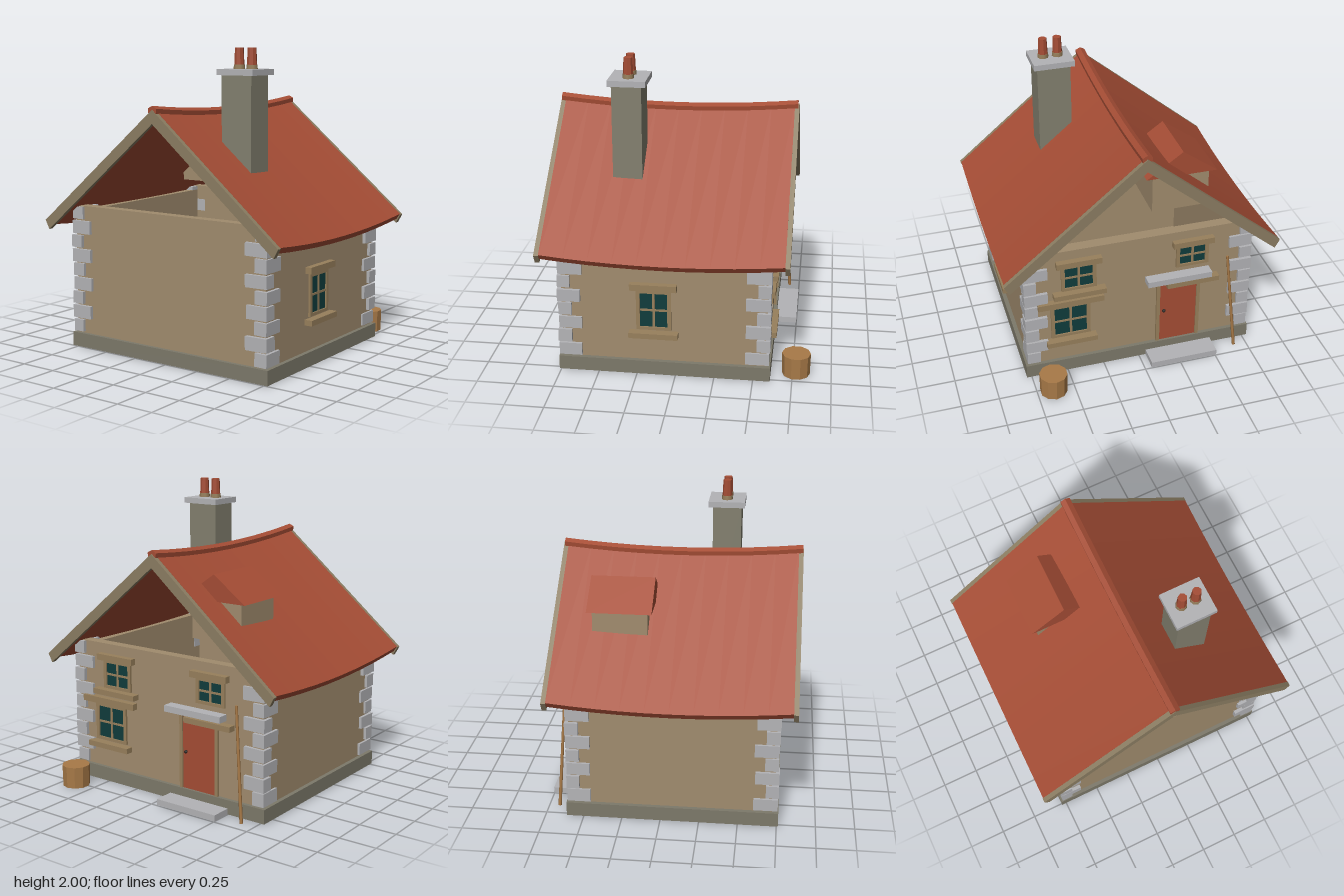
import * as THREE from 'three';

const mat = (name, color, extra = {}) => new THREE.MeshStandardMaterial({ name, color, ...extra });
const WALL = mat('plaster', 0xa18c6e);
const PLINTH = mat('footing', 0x7d796a);
const STONE = mat('cornerStone', 0xb3b3b6);
const ROOF = mat('roofTile', 0xa54d35);
const CHIMNEY = mat('chimneyStone', 0x83806f);
const TRIM = mat('timber', 0x98805c);
const BARGE = mat('weatheredTimber', 0x8b7d62);
const GLASS = mat('glass', 0x103c3c);
const WOOD = mat('wood', 0xa87a48);
const DARK = mat('iron', 0x2c2824);

// Small repeatable random numbers for hand-laid unevenness
let seed = 7;
const jitter = (a) => {
  seed = (seed * 16807) % 2147483647;
  return (seed / 2147483647 - 0.5) * 2 * a;
};

function add(parent, name, geometry, material) {
  const mesh = new THREE.Mesh(geometry, material);
  mesh.name = name;
  parent.add(mesh);
  return mesh;
}

// Box given by its low and high limits on each axis
function box(parent, name, material, x0, x1, y0, y1, z0, z1) {
  const m = add(parent, name, new THREE.BoxGeometry(x1 - x0, y1 - y0, z1 - z0), material);
  m.position.set((x0 + x1) / 2, (y0 + y1) / 2, (z0 + z1) / 2);
  return m;
}

// Profile in x/y pulled along z, optionally sagging in the middle
const Z0 = -0.72, Z1 = 0.86;
function pulled(points, z0, z1, sag = 0) {
  const shape = new THREE.Shape(points.map(([x, y]) => new THREE.Vector2(x, y)));
  const geo = new THREE.ExtrudeGeometry(shape, { depth: z1 - z0, steps: sag ? 10 : 1, bevelEnabled: false });
  geo.translate(0, 0, z0);
  const p = geo.attributes.position;
  for (let i = 0; i < p.count; i++) {
    const t = (p.getZ(i) - (Z0 + Z1) / 2) / ((Z1 - Z0) / 2);
    p.setY(i, p.getY(i) - sag * (1 - t * t));
  }
  geo.computeVertexNormals();
  return geo;
}

// Mirrors the right half of a profile (listed from the top centre to the bottom centre)
const mirrored = (half) => [...half, ...half.slice(1, -1).reverse().map(([x, y]) => [-x, y])];

// Window facing +z on the plane z = 0, with crossbars, lintel and sill
function makeWindow(name, o) {
  const g = new THREE.Group();
  g.name = name;
  const { w, y0, y1, lintelW, lintelY, sillW, sillY } = o;
  const h = w / 2, mid = (y0 + y1) / 2;
  box(g, 'pane', GLASS, -h, h, y0, y1, -0.004, 0.005);
  for (const s of [-1, 1]) box(g, 'jamb', TRIM, s * h - 0.012, s * h + 0.012, y0 - 0.01, y1 + 0.01, -0.005, 0.015);
  for (const y of [y0, y1]) box(g, 'rail', TRIM, -h, h, y - 0.01, y + 0.01, -0.005, 0.015);
  box(g, 'mullion', TRIM, -0.008, 0.008, y0, y1, 0, 0.01);
  box(g, 'crossbar', TRIM, -h, h, mid - 0.007, mid + 0.007, 0, 0.01);
  box(g, 'lintel', TRIM, -lintelW / 2, lintelW / 2, lintelY - 0.021, lintelY + 0.021, -0.02, 0.042);
  box(g, 'sill', TRIM, -sillW / 2, sillW / 2, sillY - 0.018, sillY + 0.018, -0.02, 0.055);
  return g;
}

export function createModel() {
  const house = new THREE.Group();
  house.name = 'cottage';
  const X = 0.755, ZF = 0.735, ZB = -0.585, TOP = 0.962, T = 0.07;

  // Footing, floor and the four open-topped walls
  box(house, 'plinth', PLINTH, -0.783, 0.783, 0.006, 0.1, -0.61, 0.76);
  box(house, 'floor', WALL, -0.75, 0.75, 0.003, 0.103, -0.58, 0.73);
  box(house, 'frontWall', WALL, -X, X, 0.1, TOP, ZF - T, ZF);
  box(house, 'backWall', WALL, -X, X, 0.1, TOP, ZB, ZB + T);
  for (const s of [-1, 1]) {
    const xc = s * (X - T / 2);
    box(house, 'sideWall', WALL, xc - T / 2, xc + T / 2, 0.1, TOP - 0.03, ZB + T, ZF - T);
  }

  // Corner stones, alternately long on each face
  const quoins = new THREE.Group();
  quoins.name = 'cornerStones';
  house.add(quoins);
  for (const sx of [-1, 1]) {
    for (const [sz, face] of [[1, 0.757], [-1, 0.605]]) {
      for (let i = 0; i < 9; i++) {
        const long = i % 2 === 1;
        const lx = (long ? 0.152 : 0.085) + jitter(0.006);
        const lz = (long ? 0.085 : 0.152) + jitter(0.006);
        const out = jitter(0.004);
        const m = add(quoins, 'cornerStone', new THREE.BoxGeometry(lx, 0.083 + jitter(0.004), lz), STONE);
        m.position.set(sx * (0.773 + out - lx / 2), 0.151 + i * 0.0955, sz * (face + out - lz / 2));
        m.rotation.z = jitter(0.02);
      }
    }
  }

  // Sagging roof, gable boards and ridge cap
  add(house, 'roof', pulled(mirrored([[0, 1.632], [0.913, 0.872], [0.888, 0.835], [0, 1.575]]), Z0 + 0.03, Z1 - 0.03, 0.042), ROOF);
  const board = mirrored([[0, 1.627], [0.917, 0.864], [0.885, 0.805], [0, 1.54]]);
  for (const z of [Z0, Z1 - 0.03]) add(house, 'gableBoard', pulled(board, z, z + 0.03), BARGE);
  add(house, 'ridgeCap', pulled(mirrored([[0, 1.652], [0.033, 1.635], [0.03, 1.605], [0, 1.6]]), Z0 + 0.008, Z1 - 0.004, 0.042), ROOF);

  // Dormer with its own small roof
  box(house, 'dormerBody', WALL, -0.5, -0.12, 1.065, 1.335, -0.46, -0.105);
  add(house, 'dormerRoof', pulled([[-0.545, 1.33], [-0.07, 1.33], [-0.31, 1.5]], -0.49, -0.075), ROOF);

  // Chimney with cap and two pots
  box(house, 'chimneyStack', CHIMNEY, 0.223, 0.446, 1.063, 1.835, 0.25, 0.44);
  box(house, 'chimneyCap', STONE, 0.199, 0.471, 1.83, 1.868, 0.22, 0.462);
  for (const x of [0.288, 0.384]) {
    const pot = add(house, 'chimneyPot', new THREE.CylinderGeometry(0.028, 0.034, 0.14, 8).toNonIndexed(), ROOF);
    pot.geometry.computeVertexNormals();
    pot.position.set(x, 1.93, 0.34);
    const collar = add(house, 'potCollar', new THREE.CylinderGeometry(0.035, 0.037, 0.03, 8), TRIM);
    collar.position.set(x, 1.88, 0.34);
  }

  // Windows
  const side = makeWindow('sideWindow', { w: 0.2, y0: 0.33, y1: 0.585, lintelW: 0.3, lintelY: 0.624, sillW: 0.316, sillY: 0.292 });
  side.position.set(X, 0, 0.138);
  side.rotation.y = Math.PI / 2;
  house.add(side);
  const backWindows = [
    ['lowerBackWindow', 0.47, { w: 0.24, y0: 0.3, y1: 0.535, lintelW: 0.44, lintelY: 0.572, sillW: 0.34, sillY: 0.262 }],
    ['upperBackWindow', 0.41, { w: 0.21, y0: 0.67, y1: 0.845, lintelW: 0.3, lintelY: 0.875, sillW: 0.35, sillY: 0.638 }],
    ['windowOverDoor', -0.36, { w: 0.2, y0: 0.7, y1: 0.85, lintelW: 0.28, lintelY: 0.88, sillW: 0.36, sillY: 0.575 }],
  ];
  for (const [name, x, size] of backWindows) {
    const win = makeWindow(name, size);
    win.position.set(x, 0, ZB);
    win.rotation.y = Math.PI;
    house.add(win);
  }

  // Door with frame, knob, stone hood and step
  box(house, 'door', ROOF, -0.4, -0.14, 0.1, 0.575, ZB - 0.009, ZB);
  for (const x of [-0.41, -0.13]) box(house, 'doorPost', TRIM, x - 0.012, x + 0.012, 0.1, 0.59, ZB - 0.018, ZB);
  const knob = add(house, 'doorKnob', new THREE.SphereGeometry(0.012, 8, 6), DARK);
  knob.position.set(-0.17, 0.35, ZB - 0.018);
  box(house, 'doorHood', STONE, -0.48, -0.04, 0.61, 0.652, -0.66, ZB + 0.02);
  box(house, 'doorStep', STONE, -0.507, -0.045, 0.005, 0.045, -0.75, -0.6);

  // Chopping block and leaning staff by the back wall
  const block = add(house, 'choppingBlock', new THREE.CylinderGeometry(0.093, 0.09, 0.145, 10).toNonIndexed(), WOOD);
  block.geometry.computeVertexNormals();
  block.position.set(0.64, 0.0725, -0.772);
  const foot = new THREE.Vector3(-0.66, 0.006, -0.68), tip = new THREE.Vector3(-0.59, 0.74, -0.637);
  const along = tip.clone().sub(foot);
  const staff = add(house, 'leaningStaff', new THREE.CylinderGeometry(0.009, 0.011, along.length(), 6), WOOD);
  staff.position.copy(foot).add(tip).multiplyScalar(0.5);
  staff.quaternion.setFromUnitVectors(new THREE.Vector3(0, 1, 0), along.normalize());

  return house;
}
